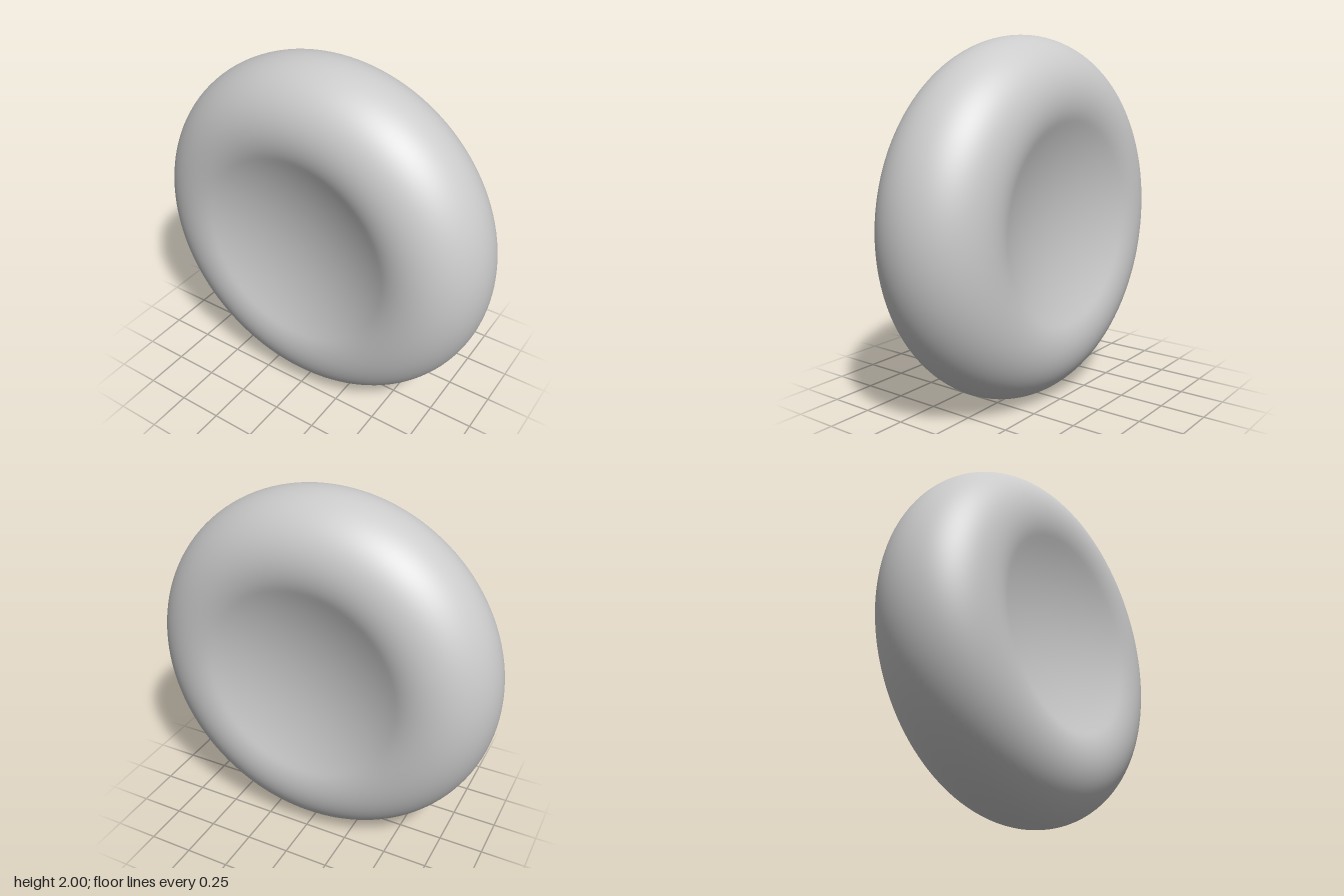
import * as THREE from 'three';

const RIM = 0.33;             // radius of the rounded rim
const RING = 1 - RIM;         // distance of the rim's centre from the axis
const DISH = 0.55;            // radius of the hollow on each face

export function createModel() {
  const group = new THREE.Group();
  group.name = 'biconcaveDisc';

  // The spherical hollow meets the round rim tangentially at this angle
  const tilt = Math.asin((RING - DISH) / RIM);
  const dishRadius = DISH / Math.sin(tilt);
  const dishCentre = (RIM + dishRadius) * Math.cos(tilt);

  const profile = [];
  const dishSteps = 16, rimSteps = 64;

  // Lower hollow, from the axis outwards
  for (let i = 0; i < dishSteps; i++) {
    const a = tilt * i / dishSteps;
    profile.push(new THREE.Vector2(dishRadius * Math.sin(a), -dishCentre + dishRadius * Math.cos(a)));
  }
  // Rim, around the outside
  const sweep = Math.PI / 2 + tilt;
  for (let i = 0; i <= rimSteps; i++) {
    const a = -sweep + 2 * sweep * i / rimSteps;
    profile.push(new THREE.Vector2(RING + RIM * Math.cos(a), RIM * Math.sin(a)));
  }
  // Upper hollow mirrors the lower one
  for (let i = dishSteps - 1; i >= 0; i--) {
    profile.push(new THREE.Vector2(profile[i].x, -profile[i].y));
  }
  // Correct the side: the lower hollow bulges inwards, towards the middle plane
  const geometry = new THREE.LatheGeometry(profile, 128);
  geometry.rotateX(Math.PI / 2);

  const disc = new THREE.Mesh(geometry, new THREE.MeshStandardMaterial({ color: 0xcccccc }));
  disc.name = 'disc';
  disc.position.y = 1;
  group.add(disc);
  return group;
}
